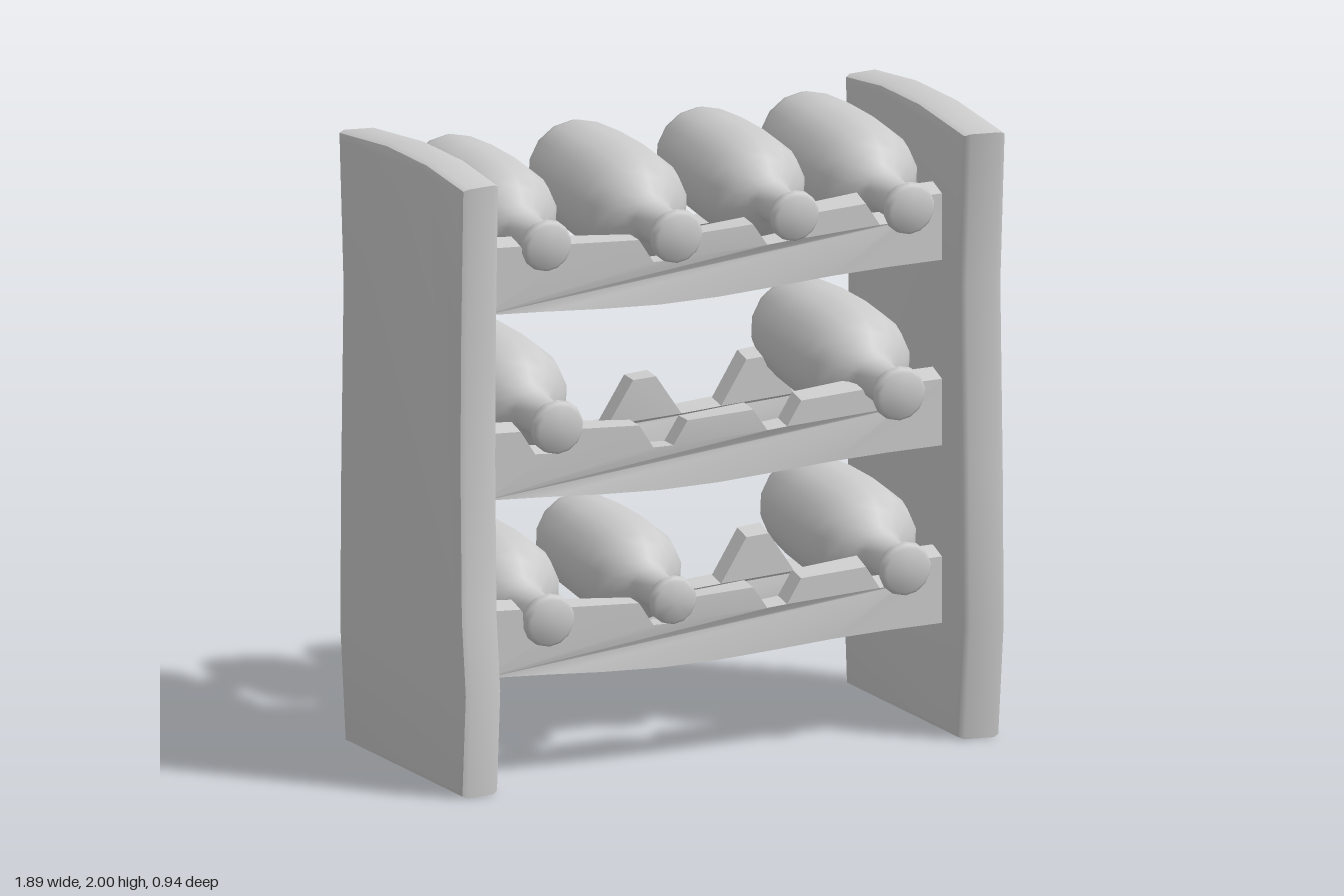
import * as THREE from 'three';
import { toCreasedNormals } from 'three/addons/utils/BufferGeometryUtils.js';

const material = new THREE.MeshStandardMaterial({ color: 0xcccccc });

function add(group, name, geometry, crease = 0.75) {
  const mesh = new THREE.Mesh(toCreasedNormals(geometry, crease), material);
  mesh.name = name;
  group.add(mesh);
  return mesh;
}

// Move every vertex by a rule
function deform(geometry, rule) {
  const p = geometry.attributes.position;
  const v = new THREE.Vector3();
  for (let i = 0; i < p.count; i++) {
    rule(v.fromBufferAttribute(p, i));
    p.setXYZ(i, v.x, v.y, v.z);
  }
  return geometry;
}

// Slightly warped side board: outline in (z, y), extruded along x
function panelGeometry() {
  const b = 0.025;
  const outline = [
    [-0.42, 0], [0.43, 0], [0.467, 0.4], [0.46, 0.9], [0.443, 1.5], [0.472, 1.97],
    [0.15, 2], [-0.18, 2], [-0.425, 1.975], [-0.41, 1.5], [-0.405, 1.1], [-0.415, 0.6], [-0.443, 0.36],
  ].map(([z, y]) => new THREE.Vector2(-(z - Math.sign(z) * b), THREE.MathUtils.clamp(y, b, y - b > b ? y - b : b)));
  const geometry = new THREE.ExtrudeGeometry(new THREE.Shape(outline), {
    depth: 0.145 - 2 * b, bevelThickness: b, bevelSize: b, bevelSegments: 2,
  });
  geometry.rotateY(Math.PI / 2);
  geometry.translate(0.798 + b, 0, 0);
  // the inner side is a little narrower
  return deform(geometry, (v) => { v.z *= 1 - 0.05 * (0.943 - v.x) / 0.145; });
}

// Notched, sagging rail; half widths of the notch at its top and bottom
function railGeometry(top, bottom, depth) {
  const height = 0.215;
  const pts = [];
  for (let i = 0; i <= 8; i++) pts.push([-0.81 + 1.62 * i / 8, 0]);
  pts.push([0.81, height]);
  for (const x of [0.61, 0.21, -0.19, -0.6]) {
    pts.push([x + top, height], [x + bottom, height - depth], [x - bottom, height - depth], [x - top, height]);
  }
  pts.push([-0.81, height]);
  const shape = new THREE.Shape(pts.map(([x, y]) => new THREE.Vector2(x, y)));
  const geometry = new THREE.ExtrudeGeometry(shape, { depth: 0.065, bevelEnabled: false });
  return deform(geometry, (v) => {
    const d = Math.min(1, Math.abs(v.x + 0.15) / 0.75);
    if (v.y > 0.05 && v.z < 0.03) v.y += 0.025 * d;
    v.y += 0.03 * d * d * (3 - 2 * d);
    v.z += 0.02 * (1 - v.x * v.x / 0.65) - 0.008 * v.x;
  });
}

// Bottle lying along z with its neck to the front
const profile = [
  [0, 0.012], [0.62, 0.012], [0.7, 0], [0.8, 0.025], [0.87, 0.07], [0.96, 0.25], [1, 0.45],
  [0.98, 0.57], [0.9, 0.65], [0.72, 0.705], [0.46, 0.74], [0.36, 0.765], [0.34, 0.9],
  [0.42, 0.94], [0.48, 0.965], [0.46, 0.99], [0.4, 1], [0, 1],
];
function addBottle(group, [x, neckY, radius, back, front]) {
  const points = profile.map(([r, t]) => new THREE.Vector2(r * radius, back + t * (front - back)));
  const geometry = new THREE.LatheGeometry(points, 14);
  geometry.rotateX(Math.PI / 2);
  const bottle = add(group, 'bottle', geometry, 0.9);
  bottle.position.set(x, neckY + 0.033, 0);
  bottle.rotation.x = 0.085;
}

export function createModel() {
  const model = new THREE.Group();
  model.name = 'bottleRack';

  // Side boards, the second turned half round
  const panel = panelGeometry();
  add(model, 'leftPanel', panel);
  add(model, 'rightPanel', panel).rotation.y = Math.PI;

  // Three shelves, each with a front rail for necks and a back rail for bodies
  const frontRail = railGeometry(0.085, 0.035, 0.075);
  const backRail = railGeometry(0.16, 0.07, 0.135);
  for (const y of [0.325, 0.9, 1.5]) {
    add(model, 'frontRail', frontRail, 0.4).position.set(0, y, 0.24);
    add(model, 'backRail', backRail, 0.4).position.set(0, y, -0.3);
  }

  // Bottles: x, neck height, radius, back z, front z
  const bottles = [
    [-0.62, 1.745, 0.176, -0.375, 0.39], [-0.185, 1.74, 0.184, -0.37, 0.43],
    [0.25, 1.745, 0.173, -0.36, 0.385], [0.625, 1.745, 0.178, -0.38, 0.44],
    [-0.592, 1.16, 0.184, -0.41, 0.41], [0.575, 1.16, 0.185, -0.33, 0.47],
    [-0.617, 0.535, 0.181, -0.39, 0.4], [-0.178, 0.55, 0.166, -0.36, 0.39],
    [0.61, 0.58, 0.183, -0.34, 0.44],
  ];
  for (const bottle of bottles) addBottle(model, bottle);
  return model;
}
